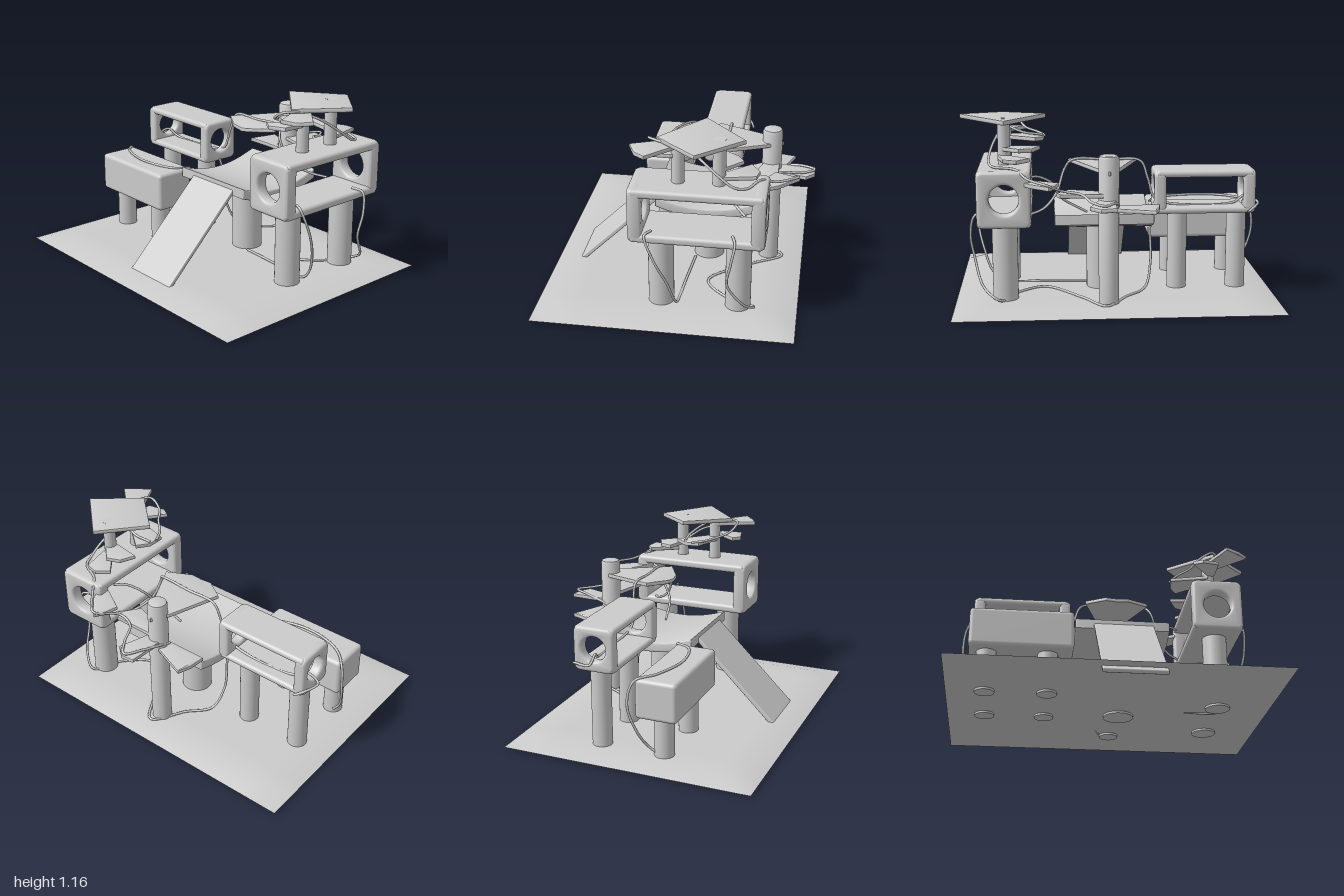
import * as THREE from 'three';
import { RoundedBoxGeometry } from 'three/addons/geometries/RoundedBoxGeometry.js';
import { toCreasedNormals } from 'three/addons/utils/BufferGeometryUtils.js';

const material = new THREE.MeshStandardMaterial({ color: 0xcccccc, side: THREE.DoubleSide });

export function createModel() {
  const model = new THREE.Group();

  function add(name, geometry, x = 0, y = 0, z = 0, parent = model) {
    const mesh = new THREE.Mesh(geometry, material);
    mesh.name = name;
    mesh.position.set(x, y, z);
    parent.add(mesh);
    return mesh;
  }

  // Upright cylinder between two heights
  function column(name, x, z, r, y0, y1) {
    add(name, new THREE.CylinderGeometry(r, r, y1 - y0, 32), x, (y0 + y1) / 2, z);
  }

  function roundedRect(w, h, r) {
    const s = new THREE.Shape(), a = w / 2 - r, b = h / 2 - r;
    s.absarc(a, b, r, 0, Math.PI / 2);
    s.absarc(-a, b, r, Math.PI / 2, Math.PI);
    s.absarc(-a, -b, r, Math.PI, Math.PI * 1.5);
    s.absarc(a, -b, r, Math.PI * 1.5, Math.PI * 2);
    return s;
  }

  // Tunnel house: long along local z, open sides, round holes in the end walls
  function tunnelHouse(name, w, h, length, wall, slab, holeR, holeY) {
    const house = new THREE.Group();
    house.name = name;
    const b = 0.02;
    for (const side of [-1, 1]) {
      const shape = roundedRect(w - 2 * b, h - 2 * b, 0.02);
      const hole = new THREE.Path();
      hole.absarc(0, holeY, holeR + b, 0, Math.PI * 2, true);
      shape.holes.push(hole);
      const g = new THREE.ExtrudeGeometry(shape, {
        depth: wall - 2 * b, bevelThickness: b, bevelSize: b, bevelSegments: 4, curveSegments: 24,
      });
      g.translate(0, 0, -wall / 2 + b);
      add('endWall', toCreasedNormals(g, 0.7), 0, 0, side * (length - wall) / 2, house);
      add(side > 0 ? 'roof' : 'floor', new RoundedBoxGeometry(w, slab, length - 0.02, 4, 0.022),
        0, side * (h - slab) / 2, 0, house);
    }
    model.add(house);
    return house;
  }

  // Thin plate from an [x, z] outline; the rim rises away from the middle line hub -> tip
  function plate(name, outline, y, lift = 0.02, thick = 0.026) {
    const b = 0.006;
    const shape = new THREE.Shape(outline.map(([x, z]) => new THREE.Vector2(x, -z)));
    const g = new THREE.ExtrudeGeometry(shape, {
      depth: thick - 2 * b, bevelThickness: b, bevelSize: b, bevelOffset: -b, bevelSegments: 2,
    });
    g.rotateX(-Math.PI / 2);
    const n = outline.length, half = Math.floor(n / 2);
    const [hx, hz] = outline[0], [tx, tz] = outline[half];
    const len = Math.hypot(tx - hx, tz - hz), p = g.attributes.position;
    for (let i = 0; i < p.count; i++) {
      const across = Math.abs((p.getX(i) - hx) * (tz - hz) - (p.getZ(i) - hz) * (tx - hx)) / len;
      p.setY(i, p.getY(i) + lift * Math.min(1, across / 0.15));
    }
    add(name, toCreasedNormals(g, 0.5), 0, y - thick / 2, 0);
  }

  function rope(points, r = 0.008) {
    const curve = new THREE.CatmullRomCurve3(points.map((p) => new THREE.Vector3(...p)));
    add('rope', new THREE.TubeGeometry(curve, points.length * 12, r, 8));
  }

  // Ground sheet with sloping margins
  const ground = new THREE.PlaneGeometry(2, 1.59, 14, 12).rotateX(-Math.PI / 2);
  const gp = ground.attributes.position;
  for (let i = 0; i < gp.count; i++) {
    const edge = Math.min(1 - Math.abs(gp.getX(i)), 0.795 - Math.abs(gp.getZ(i)));
    gp.setY(i, 0.015 + 0.033 * Math.min(1, Math.max(0, edge) / 0.13));
  }
  ground.computeVertexNormals();
  add('ground', ground, 0, 0, 0.025);

  // Low solid box and the tunnel house behind it, each on two columns
  add('lowBox', new RoundedBoxGeometry(0.645, 0.25, 0.265, 5, 0.025), -0.558, 0.425, 0.188);
  for (const x of [-0.77, -0.392]) {
    column('lowBoxColumn', x, 0.2, 0.062, 0.035, 0.31);
    column('leftHouseColumn', x, -0.21, 0.062, 0.035, 0.57);
  }
  const leftHouse = tunnelHouse('leftHouse', 0.26, 0.275, 0.635, 0.075, 0.045, 0.077, 0.005);
  leftHouse.rotation.y = Math.PI / 2;
  leftHouse.position.set(-0.553, 0.682, -0.208);

  // Large tunnel house on two columns
  tunnelHouse('rightHouse', 0.325, 0.345, 0.805, 0.083, 0.055, 0.09, 0).position.set(0.688, 0.692, -0.168);
  for (const z of [0.06, -0.41]) column('rightHouseColumn', 0.69, z, 0.078, 0.035, 0.54);

  // Sagging centre platform, swept along x
  const sag = [], under = [];
  for (let i = 0; i <= 16; i++) {
    const t = i / 8 - 1;
    sag.push(new THREE.Vector2(t * 0.305, 0.51 + 0.06 * t * t));
    under.unshift(new THREE.Vector2(t * 0.305, 0.465 + 0.06 * t * t));
  }
  const deck = new THREE.ExtrudeGeometry(new THREE.Shape([...sag, ...under]), {
    depth: 0.585, bevelThickness: 0.01, bevelSize: 0.01, bevelSegments: 3,
  });
  deck.translate(0, 0, -0.2925).rotateY(Math.PI / 2);
  add('centrePlatform', toCreasedNormals(deck, 0.6), 0.083, 0, -0.165);
  column('centreColumn', 0.085, -0.16, 0.097, 0.035, 0.49);

  // Ramp from the platform to the ground
  const ramp = add('ramp', new RoundedBoxGeometry(0.385, 0.028, 0.79, 3, 0.008), 0.092, 0.285, 0.402);
  ramp.rotation.x = Math.atan2(0.55, 0.56);

  // Climbing post with a softened top
  const post = [[0, 0.035], [0.062, 0.035], [0.062, 0.935], [0.056, 0.95], [0.044, 0.956], [0, 0.956]];
  add('post', toCreasedNormals(new THREE.LatheGeometry(
    post.map(([x, y]) => new THREE.Vector2(x, y)), 32), 0.6), 0.062, 0, -0.548);

  // Leaf steps around the post
  plate('topLeaf', [[0.06, -0.62], [-0.01, -0.52], [-0.13, -0.2], [0, -0.11], [0.085, -0.105],
    [0.15, -0.11], [0.295, -0.2], [0.14, -0.52]], 0.858, 0.02);
  plate('rightLeaf', [[0.05, -0.55], [0.09, -0.6], [0.355, -0.6], [0.375, -0.53], [0.3, -0.44], [0.09, -0.5]], 0.72, 0.01);
  plate('leftLeaf', [[0.06, -0.55], [0.02, -0.6], [-0.21, -0.69], [-0.235, -0.6], [-0.25, -0.5], [0.02, -0.5]], 0.632, 0.01);
  plate('backLeaf', [[0.06, -0.53], [0.12, -0.56], [0.185, -0.77], [0.12, -0.825], [0.03, -0.82], [0.02, -0.56]], 0.68, 0.01);
  plate('houseLeaf', [[0.58, -0.54], [0.54, -0.62], [0.42, -0.74], [0.385, -0.67], [0.36, -0.59], [0.53, -0.49]], 0.79, 0.01);

  // Two thin masts on the large house carrying leaves and the top plate
  column('frontMast', 0.69, -0.045, 0.039, 0.85, 1.115);
  column('backMast', 0.69, -0.285, 0.039, 0.85, 1.15);
  plate('topPlate', [[0.685, -0.435], [0.433, -0.18], [0.71, 0.075], [0.963, -0.175]], 1.14, 0.016, 0.028);
  plate('frontMastLeaf', [[0.67, -0.07], [0.66, -0.02], [0.77, 0.22], [0.86, 0.18], [0.925, 0.11], [0.73, -0.07]], 1.11, 0.012);
  plate('mastLeaf', [[0.71, -0.04], [0.67, 0], [0.56, 0.13], [0.62, 0.17], [0.73, 0.14], [0.73, 0]], 1.04, 0.01);
  plate('mastLeaf', [[0.71, -0.05], [0.68, -0.1], [0.5, -0.25], [0.45, -0.17], [0.44, -0.07], [0.68, 0]], 1.01, 0.01);
  plate('mastLeaf', [[0.7, -0.27], [0.71, -0.31], [0.6, -0.42], [0.52, -0.38], [0.47, -0.29], [0.67, -0.25]], 0.965, 0.01);
  plate('mastLeaf', [[0.69, -0.26], [0.73, -0.31], [0.69, -0.5], [0.61, -0.515], [0.53, -0.46], [0.66, -0.3]], 0.915, 0.01);

  // Rope draped over the low box and hanging down its side
  rope([[-0.24, 0.55, 0.06], [-0.3, 0.555, 0.16], [-0.54, 0.56, 0.22], [-0.78, 0.56, 0.16], [-0.89, 0.54, 0.06],
    [-0.92, 0.4, 0.03], [-0.89, 0.22, 0.08], [-0.82, 0.1, 0.13], [-0.8, 0.055, 0.2]]);
  // Rope around and through the left house, on to the platform
  rope([[-0.82, 0.56, -0.36], [-0.87, 0.59, -0.33], [-0.9, 0.6, -0.22], [-0.82, 0.64, -0.22], [-0.75, 0.6, -0.24],
    [-0.5, 0.588, -0.26], [-0.25, 0.63, -0.25], [-0.2, 0.76, -0.26], [-0.15, 0.875, -0.27], [0.05, 0.885, -0.27],
    [0.27, 0.885, -0.26], [0.32, 0.82, -0.22], [0.37, 0.68, -0.26], [0.45, 0.6, -0.36], [0.54, 0.575, -0.43]]);
  // Rope from the platform, across the ground and up to the large house
  rope([[-0.24, 0.56, -0.2], [-0.22, 0.45, -0.22], [-0.22, 0.22, -0.25], [-0.18, 0.08, -0.33], [-0.05, 0.055, -0.45],
    [0.08, 0.055, -0.64], [0.22, 0.055, -0.45], [0.45, 0.055, -0.2], [0.62, 0.055, -0.32], [0.72, 0.06, -0.51],
    [0.82, 0.13, -0.46], [0.88, 0.3, -0.36], [0.9, 0.45, -0.38], [0.87, 0.57, -0.4], [0.8, 0.585, -0.38]]);
  rope([[0.8, 0.585, 0.1], [0.86, 0.58, 0.13], [0.88, 0.42, 0.07], [0.84, 0.25, 0], [0.79, 0.12, -0.03],
    [0.72, 0.055, -0.04], [0.45, 0.055, -0.06], [0.18, 0.055, -0.08]]);
  // Rope linking the post leaves to the masts
  rope([[0, 0.65, -0.52], [0.04, 0.7, -0.72], [0.1, 0.705, -0.82], [0.17, 0.71, -0.74], [0.23, 0.735, -0.62],
    [0.34, 0.75, -0.59], [0.43, 0.81, -0.73], [0.55, 0.83, -0.61], [0.62, 0.87, -0.52], [0.75, 0.875, -0.45],
    [0.78, 0.89, -0.38], [0.77, 0.96, -0.28], [0.72, 1.05, -0.15], [0.66, 1.1, -0.03]]);
  // Rope looped round the front mast
  rope([[0.45, 1.03, -0.17], [0.58, 1.05, -0.18], [0.7, 1.1, -0.11], [0.74, 1.13, 0.03], [0.69, 1.13, 0.12],
    [0.6, 1.08, 0.1], [0.56, 1.05, 0.04], [0.48, 1.03, -0.04], [0.44, 1.02, -0.12]]);
  // Rope from the platform up to the large house
  rope([[0.18, 0.54, -0.2], [0.34, 0.64, -0.24], [0.4, 0.75, -0.32], [0.48, 0.8, -0.38], [0.53, 0.81, -0.44]]);

  return model;
}
